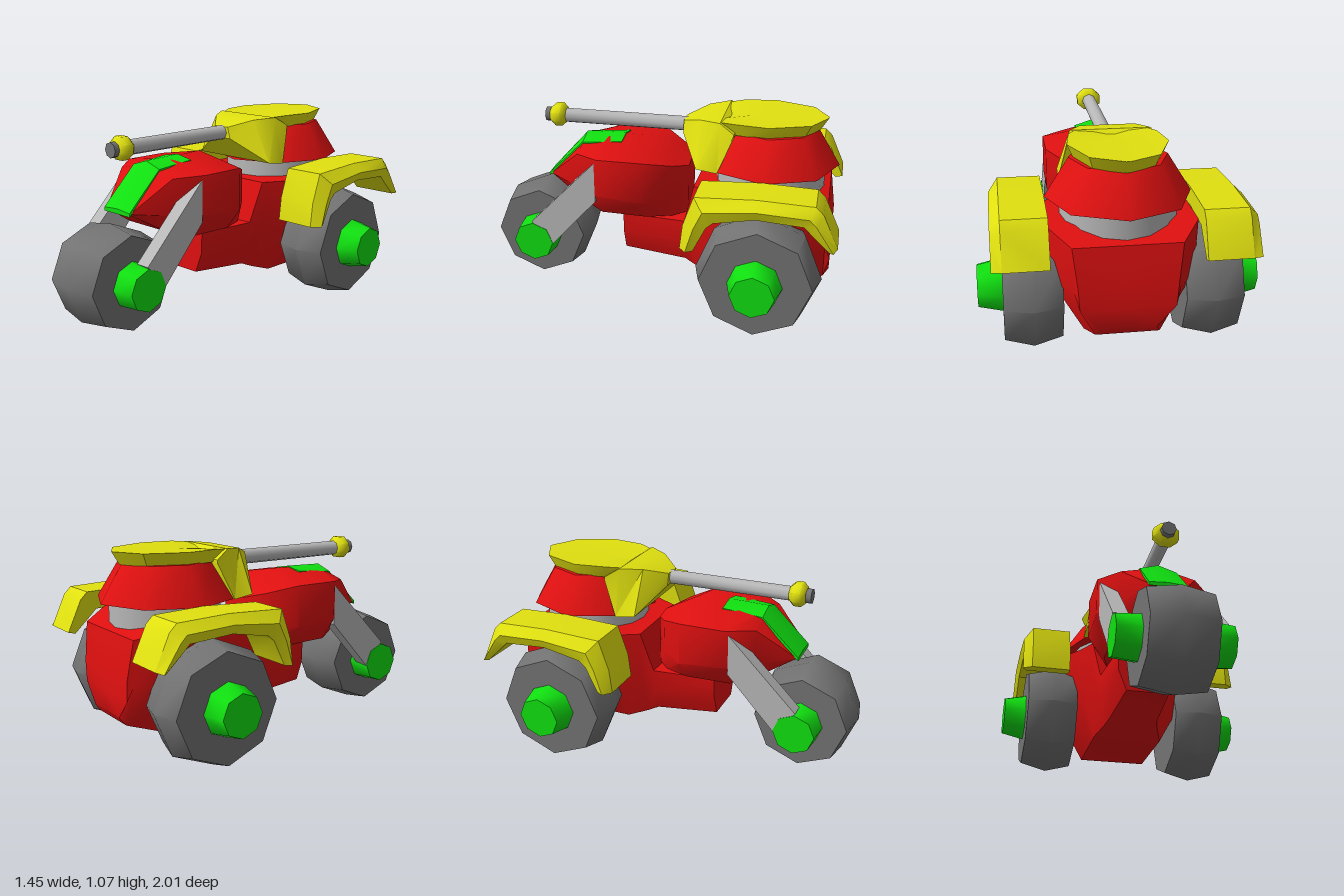
import * as THREE from 'three';
import { toCreasedNormals } from 'three/addons/utils/BufferGeometryUtils.js';

const mat = (name, color) => {
  const m = new THREE.MeshStandardMaterial({ color });
  m.name = name;
  return m;
};

// Makes every face look outward, then smooths all but the sharp edges
function finish(geo, crease = 0.85) {
  const g = geo.index ? geo.toNonIndexed() : geo;
  g.deleteAttribute('normal');
  g.deleteAttribute('uv');
  const p = g.attributes.position;
  const v = [0, 1, 2].map(() => new THREE.Vector3());
  let volume = 0;
  for (let i = 0; i < p.count; i += 3) {
    v.forEach((q, k) => q.fromBufferAttribute(p, i + k));
    volume += v[0].dot(v[1].clone().cross(v[2]));
  }
  if (volume < 0) {
    for (let i = 0; i < p.count; i += 3) {
      v.forEach((q, k) => q.fromBufferAttribute(p, i + k));
      p.setXYZ(i + 1, v[2].x, v[2].y, v[2].z);
      p.setXYZ(i + 2, v[1].x, v[1].y, v[1].z);
    }
  }
  g.computeVertexNormals();
  return toCreasedNormals(g, crease);
}

// Solid through a row of closed rings, capped at both ends
function loft(rings, crease) {
  const n = rings[0].length, pos = [], idx = [];
  rings.forEach(r => r.forEach(p => pos.push(...p)));
  for (let i = 0; i < rings.length - 1; i++) {
    for (let j = 0; j < n; j++) {
      const a = i * n + j, b = i * n + (j + 1) % n;
      idx.push(a, b, a + n, b, b + n, a + n);
    }
  }
  [0, rings.length - 1].forEach(i => {
    const c = pos.length / 3;
    pos.push(...[0, 1, 2].map(k => rings[i].reduce((s, p) => s + p[k], 0) / n));
    for (let j = 0; j < n; j++) {
      const a = i * n + j, b = i * n + (j + 1) % n;
      idx.push(...(i === 0 ? [c, b, a] : [c, a, b]));
    }
  });
  const g = new THREE.BufferGeometry();
  g.setAttribute('position', new THREE.Float32BufferAttribute(pos, 3));
  g.setIndex(idx);
  return finish(g, crease);
}

// Left-right symmetric ring at one z, from [x, y] points of the left half
const ring = (z, half) => [
  ...half.map(([x, y]) => [x, y, z]),
  ...half.slice().reverse().map(([x, y]) => [-x, y, z])
];

// Eight-sided turned solid along x, from [radius, x] points
const turned = profile => finish(
  new THREE.LatheGeometry(profile.map(([r, x]) => new THREE.Vector2(r, x)), 8).rotateZ(-Math.PI / 2));

const wheel = (r, edge, half) => turned([[0, -half], [edge, -half], [r, 0], [edge, half], [0, half]]);

export function createModel() {
  const red = mat('red', 0xe01010), yellow = mat('yellow', 0xe0e010), green = mat('green', 0x10e010);
  const darkGrey = mat('dark grey', 0x737373), lightGrey = mat('light grey', 0xb8b8b8);
  const model = new THREE.Group();
  const add = (name, geo, material, x = 0, y = 0, z = 0) => {
    const m = new THREE.Mesh(geo, material);
    m.name = name;
    m.position.set(x, y, z);
    model.add(m);
    return m;
  };

  // Rear body: low tongue in front, wide hull behind
  add('rearBody', loft([
    // z, half width, bottom half width, bottom, top
    [0.21, 0.17, 0.12, 0.23, 0.465],
    [-0.15, 0.2, 0.14, 0.2, 0.465],
    [-0.21, 0.24, 0.16, 0.175, 0.7],
    [-0.32, 0.3, 0.2, 0.14, 0.7],
    [-0.45, 0.375, 0.2, 0.14, 0.71],
    [-0.78, 0.375, 0.2, 0.14, 0.71],
    [-0.935, 0.27, 0.16, 0.19, 0.66],
    [-0.965, 0.245, 0.14, 0.23, 0.45]
  ].map(([z, w, b, y0, y1]) => ring(z, [
    [0.01, y1], [w, y1], [w * 0.97, y0 + (y1 - y0) * 0.5], [b, y0], [0.01, y0]
  ])), 0.7), red);

  // Front body
  add('frontBody', loft([
    // z, half width, bottom half width, top, shoulder, waist, bottom
    [0.655, 0.1, 0.09, 0.655, 0.65, 0.645, 0.64],
    [0.46, 0.21, 0.15, 0.87, 0.82, 0.62, 0.525],
    [0.32, 0.315, 0.22, 0.885, 0.835, 0.62, 0.485],
    [0.06, 0.315, 0.22, 0.89, 0.835, 0.6, 0.48],
    [-0.08, 0.2, 0.17, 0.815, 0.79, 0.6, 0.48],
    [-0.155, 0.09, 0.09, 0.775, 0.76, 0.6, 0.48]
  ].map(([z, w, b, t, s, m, y0]) => ring(z, [
    [0.005, t], [w, s], [w, m], [b, y0], [0.005, y0]
  ])), 0.7), red);
  add('pivot', new THREE.CylinderGeometry(0.11, 0.11, 0.06, 12), lightGrey, 0, 0.465, 0.07);

  // Nose panel
  add('nosePanel', loft([
    [0.668, 0.66, 0.652], [0.46, 0.886, 0.855], [0.23, 0.893, 0.875]
  ].map(([z, t, s]) => ring(z, [[0.005, t], [0.105, s], [0.105, s - 0.02], [0.005, s - 0.02]])), 0.4), green);

  // Wheels, hubs and forks
  add('frontWheel', wheel(0.29, 0.26, 0.175), darkGrey, 0, 0.3, 0.715);
  const forkSide = [[0.335, 0.81], [0.72, 0.42], [0.6, 0.29], [0.335, 0.58]];
  for (const [side, s] of [['left', 1], ['right', -1]]) {
    add(side + 'RearWheel', wheel(0.335, 0.295, 0.147), darkGrey, s * 0.453, 0.33, -0.6);
    add(side + 'RearHub', turned([[0, 0], [0.145, 0], [0.115, 0.13], [0, 0.13]]
      .map(([r, x]) => [r, s * x])), green, s * 0.595, 0.33, -0.6);
    add(side + 'FrontHub', turned([[0, 0], [0.128, 0], [0.115, 0.135], [0, 0.135]]
      .map(([r, x]) => [r, s * x])), green, s * 0.17, 0.295, 0.715);
    add(side + 'Fork', loft([0.22, 0.303].map(x => forkSide.map(([z, y]) => [s * x, y, z])), 0.4), lightGrey);

    // Bent mudguard with a chamfered outer side
    add(side + 'Mudguard', loft([
      // outer z, y and inner z, y
      [-0.205, 0.505, -0.28, 0.51],
      [-0.22, 0.635, -0.345, 0.645],
      [-0.275, 0.795, -0.38, 0.675],
      [-0.59, 0.81, -0.59, 0.715],
      [-0.88, 0.8, -0.83, 0.7],
      [-0.92, 0.76, -0.86, 0.67],
      [-1.0, 0.585, -0.96, 0.575]
    ].map(([z0, y0, z1, y1]) => [[0.375, 0], [0.6, 0], [0.65, 0.5], [0.63, 1], [0.375, 1]]
      .map(([x, t]) => [s * x, y0 + (y1 - y0) * t, z0 + (z1 - z0) * t])), 0.6), yellow);
  }

  // Turret on its bearing ring
  add('turretRing', new THREE.CylinderGeometry(0.3, 0.3, 0.14, 16), lightGrey, 0, 0.74, -0.6);
  add('turret', finish(new THREE.CylinderGeometry(0.25, 0.375, 0.2, 8)), red, 0, 0.9, -0.6);

  // Gun shield
  add('gunShield', loft([
    // z, top half width, bottom half width, top, bottom
    [-0.115, 0.05, 0.07, 1.01, 0.945],
    [-0.225, 0.15, 0.277, 1.05, 0.815],
    [-0.34, 0.215, 0.28, 1.06, 0.8],
    [-0.42, 0.24, 0.24, 1.01, 0.99]
  ].map(([z, a, b, t, y0]) => ring(z, [[a, t], [b, y0]])), 0.6), yellow);

  // Turret lid with a drop-shaped outline
  const lid = [[0.01, -0.9], [0.17, -0.815], [0.255, -0.6], [0.23, -0.42], [0.15, -0.25], [0.05, -0.14]];
  const lidRing = (y, k, drop) => [...lid, ...lid.slice().reverse().map(([x, z]) => [-x, z])]
    .map(([x, z]) => [x * k, y - drop * Math.max(0, z + 0.3), -0.55 + (z + 0.55) * k]);
  add('turretLid', loft([lidRing(0.995, 0.88, 0), lidRing(1.065, 1, 0.3)], 0.5), yellow);

  // Gun barrel, collar and muzzle
  const tube = (r, len) => finish(new THREE.CylinderGeometry(r, r, len, 8).rotateX(Math.PI / 2));
  add('barrel', tube(0.042, 0.86), lightGrey, 0, 0.975, 0.24);
  add('muzzle', tube(0.042, 0.04), darkGrey, 0, 0.975, 0.68);
  add('collar', finish(new THREE.LatheGeometry(
    [[0, -0.045], [0.05, -0.045], [0.076, -0.02], [0.076, 0.02], [0.05, 0.045], [0, 0.045]]
      .map(([r, y]) => new THREE.Vector2(r, y)), 8).rotateX(Math.PI / 2).rotateZ(Math.PI / 8)),
  yellow, 0, 0.978, 0.625).scale.y = 0.88;

  return model;
}
